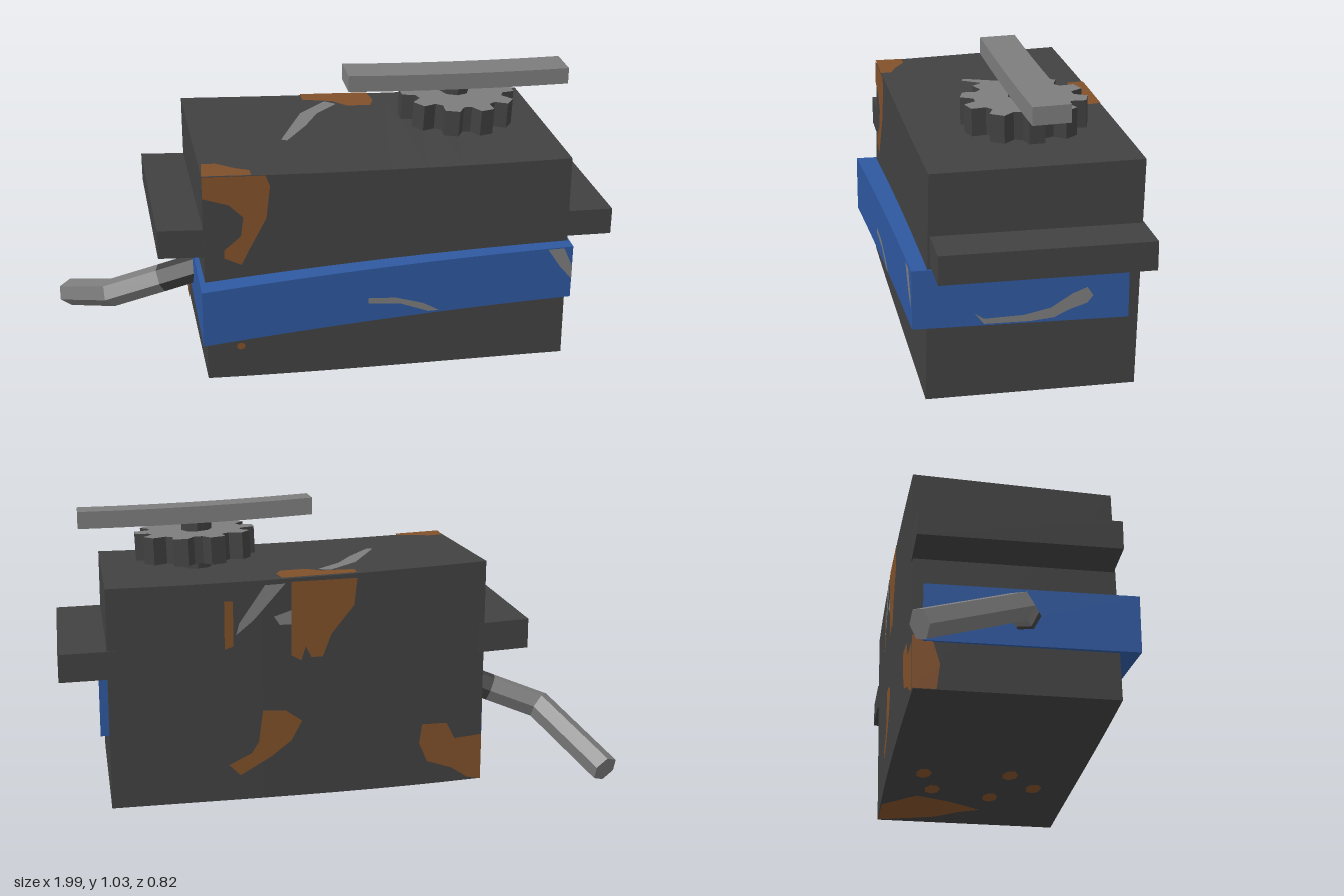
import * as THREE from 'three';

const material = (name, color) => {
  const m = new THREE.MeshStandardMaterial({ color });
  m.name = name;
  return m;
};

export function createModel() {
  const model = new THREE.Group();
  model.name = 'gearBox';
  const dark = material('darkIron', 0x414141);
  const blue = material('bluePaint', 0x2e589f);
  const grey = material('bareSteel', 0x7c7c7c);
  const rust = material('rust', 0x80502a);
  const mix = THREE.MathUtils.lerp;

  const add = (name, geo, mat, parent = model) => {
    const mesh = new THREE.Mesh(geo, mat);
    mesh.name = name;
    parent.add(mesh);
    return mesh;
  };

  // Box whose corners (u, v, w from 0 to 1) are moved by a rule; flat faces
  const warpedBox = (rule, segments = 1) => {
    const geo = new THREE.BoxGeometry(1, 1, 1, segments, 1, 1).toNonIndexed();
    const p = geo.attributes.position;
    for (let i = 0; i < p.count; i++) {
      p.setXYZ(i, ...rule(p.getX(i) + 0.5, p.getY(i) + 0.5, p.getZ(i) + 0.5));
    }
    geo.computeVertexNormals();
    return geo;
  };

  // Slightly sagging surfaces of the casing
  const along = (x) => (x + 0.49) / 1.32;
  const bow = (u) => 4 * u * (1 - u);
  const topY = (x, z) => {
    const u = along(x), w = (0.33 - z) / 0.71;
    return mix(mix(0.81, 0.777, u), mix(0.835, 0.786, u), w) - 0.008 * bow(u);
  };
  const bottomY = (x) => mix(0.03, 0.001, along(x)) - 0.008 * bow(along(x)) * (1 - along(x));
  const frontZ = (x, y) => 0.345 - 0.018 * y / 0.8 - 0.004 * along(x);
  const backZ = (x, y) => -0.357 - 0.018 * y / 0.8 - 0.008 * along(x) - 0.01 * bow(along(x));

  add('casing', warpedBox((u, v, w) => {
    const x = mix(-0.49, 0.83, u);
    const y = v ? topY(x, mix(-0.38, 0.33, w)) : bottomY(x);
    return [x, y, w ? frontZ(x, y) : backZ(x, y)];
  }, 10), dark);

  // Side ledges
  add('rightLedge', warpedBox((u, v, w) => [
    mix(-0.65, -0.47, u), mix(0.515, 0.62, v) - 0.01 * u, mix(-0.372, 0.328, w)]), dark);
  add('leftLedge', warpedBox((u, v, w) => [
    mix(0.8, 0.995, u), mix(0.472, 0.57, v) - 0.004 * u, mix(-0.383, 0.322, w)]), dark);

  // Blue band passing through the casing
  const bandZ = (x) => mix(0.412, 0.383, (x + 0.51) / 1.345);
  const bandX = (z) => mix(0.835, 0.86, (0.383 - z) / 0.713);
  add('blueBand', warpedBox((u, v, w) => [
    mix(mix(-0.5, 0.86, u), mix(-0.51, 0.835, u), w),
    mix(mix(0.2, 0.255, u), mix(0.41, 0.457, u), v) + 0.012 * bow(u),
    mix(-0.33, mix(0.412, 0.383, u), w)], 8), blue);

  // Flat worn patches laid on a surface
  const lift = 0.004;
  const faces = {
    front: [(a, b) => [a, b, frontZ(a, b) + lift], false],
    back: [(a, b) => [a, b, backZ(a, b) - lift], true],
    top: [(a, b) => [a, topY(a, b) + lift, b], true],
    bottom: [(a, b) => [a, Math.max(bottomY(a) - lift, 0) - 0.001, b], false],
    right: [(a, b) => [-0.49 - lift, b, a], false],
    bandFront: [(a, b) => [a, b, bandZ(a) + lift], false],
    bandLeft: [(a, b) => [bandX(a) + lift, b, a], true],
  };
  const patch = (name, mat, face, outline) => {
    const [place, flip] = faces[face];
    const geo = new THREE.ShapeGeometry(new THREE.Shape(outline.map((q) => new THREE.Vector2(...q))));
    const p = geo.attributes.position;
    for (let i = 0; i < p.count; i++) p.setXYZ(i, ...place(p.getX(i), p.getY(i)));
    if (flip) geo.index.array.reverse();
    geo.computeVertexNormals();
    add(name, geo, mat, model);
  };
  const spot = (face, a, b, ra, rb) => patch('rustSpot', rust, face,
    Array.from({ length: 7 }, (_, i) => [a + ra * Math.cos(i * 0.9), b + rb * Math.sin(i * 0.9)]));

  patch('frontRust', rust, 'front', [[-0.49, 0.81], [-0.27, 0.8], [-0.255, 0.76], [-0.27, 0.64],
    [-0.33, 0.53], [-0.36, 0.47], [-0.42, 0.5], [-0.42, 0.53], [-0.36, 0.58], [-0.35, 0.65],
    [-0.4, 0.7], [-0.49, 0.73]]);
  patch('topCornerRust', rust, 'top', [[-0.49, 0.33], [-0.48, 0.23], [-0.43, 0.23], [-0.37, 0.27],
    [-0.32, 0.29], [-0.32, 0.33]]);
  patch('topBackRust', rust, 'top', [[-0.03, -0.388], [-0.03, -0.33], [0.08, -0.31], [0.13, -0.26],
    [0.22, -0.26], [0.24, -0.31], [0.23, -0.388]]);
  patch('topScratch', grey, 'top', [[0.05, -0.31], [0.09, -0.28], [0, -0.19], [-0.06, -0.08],
    [-0.15, 0.05], [-0.17, 0.04], [-0.12, -0.07], [-0.06, -0.2]]);
  patch('backRust', rust, 'back', [[0.2, 0.79], [-0.03, 0.795], [-0.02, 0.7], [0.06, 0.6],
    [0.09, 0.52], [0.13, 0.52], [0.15, 0.56], [0.165, 0.51], [0.2, 0.53]]);
  patch('backRustStreak', rust, 'back', [[0.43, 0.73], [0.4, 0.73], [0.4, 0.57], [0.43, 0.56]]);
  patch('backScratch', grey, 'back', [[0.22, 0.785], [0.29, 0.782], [0.38, 0.65], [0.39, 0.61], [0.33, 0.66]]);
  patch('backScratch', grey, 'back', [[0.26, 0.67], [0.2, 0.69], [0.2, 0.64], [0.24, 0.64]]);
  patch('backLowerRust', rust, 'back', [[0.3, 0.335], [0.22, 0.33], [0.163, 0.29], [0.2, 0.22],
    [0.27, 0.165], [0.38, 0.1], [0.42, 0.14], [0.34, 0.18], [0.315, 0.22]]);
  patch('backCornerRust', rust, 'back', [[-0.27, 0.25], [-0.36, 0.25], [-0.39, 0.19], [-0.49, 0.2],
    [-0.49, 0.03], [-0.44, 0.04], [-0.38, 0.08], [-0.29, 0.11], [-0.26, 0.18]]);
  patch('sideCornerRust', rust, 'right', [[-0.36, 0.03], [-0.28, 0.03], [-0.27, 0.12], [-0.3, 0.22], [-0.365, 0.22]]);
  patch('bottomRust', rust, 'bottom', [[0.82, -0.365], [0.63, -0.365], [0.51, -0.24], [0.56, -0.11],
    [0.64, 0.02], [0.68, -0.06], [0.75, -0.14]]);
  spot('front', -0.37, 0.15, 0.016, 0.014);
  for (const [x, z] of [[0.24, 0.08], [0.37, 0.19], [0.49, 0.04], [0.26, -0.24], [0.43, -0.19]]) {
    spot('bottom', x, z, 0.05, 0.03);
  }
  patch('bandScratch', grey, 'bandFront', [[0.08, 0.33], [0.18, 0.322], [0.28, 0.29], [0.34, 0.255],
    [0.3, 0.255], [0.2, 0.295], [0.08, 0.31]]);
  patch('bandCornerScratch', grey, 'bandFront', [[0.74, 0.455], [0.8, 0.455], [0.834, 0.38],
    [0.834, 0.33], [0.79, 0.38]]);
  patch('bandSideScratch', grey, 'bandLeft', [[0.18, 0.3], [0.15, 0.28], [0.02, 0.285], [-0.07, 0.305],
    [-0.14, 0.35], [-0.19, 0.37], [-0.21, 0.34], [-0.19, 0.315], [-0.13, 0.295], [-0.08, 0.27],
    [0, 0.262], [0.15, 0.262]]);

  // Cog on its shaft
  const cog = new THREE.Group();
  cog.name = 'cog';
  cog.position.set(0.495, 0.825, -0.052);
  cog.rotation.set(0.025, 0, -0.035);
  model.add(cog);
  const teeth = 10, step = Math.PI * 2 / teeth;
  const outline = [];
  for (let i = 0; i < teeth; i++) {
    for (const [k, r] of [[-0.36, 0.168], [-0.2, 0.213], [0.2, 0.213], [0.36, 0.168]]) {
      const a = (i + k) * step;
      outline.push(new THREE.Vector2(r * Math.cos(a), r * Math.sin(a)));
    }
  }
  const cogGeo = new THREE.ExtrudeGeometry(new THREE.Shape(outline), { depth: 0.095, bevelEnabled: false });
  cogGeo.rotateX(-Math.PI / 2);
  add('cogWheel', cogGeo, [grey, dark], cog);
  for (let i = 0; i < teeth; i++) {
    const tip = add('toothFace', new THREE.BoxGeometry(0.006, 0.09, 0.045), i % 3 === 1 ? blue : grey, cog);
    tip.position.set(0.204 * Math.cos(i * step), 0.047, 0.204 * Math.sin(i * step));
    tip.rotation.y = -i * step;
  }
  const shaftGeo = new THREE.CylinderGeometry(0.054, 0.054, 0.19, 8).toNonIndexed();
  shaftGeo.computeVertexNormals();
  add('shaft', shaftGeo, dark).position.set(0.49, 0.868, -0.052);

  // Long bar above the cog
  add('topBar', warpedBox((u, v, w) => [
    mix(0.08, 0.907, u),
    mix(0.97, 1.03, v) - 0.026 * u - 0.006 * bow(u) - 0.004 * w,
    mix(-0.105, 0.02, w) - 0.01 * u], 6), grey);

  // Bent six-sided crank: rings carried along the path onto mitred planes
  const path = [[-0.45, 0.33, 0.03], [-0.62, 0.266, -0.012], [-0.8, 0.2, -0.055], [-0.955, 0.045, -0.385]]
    .map((q) => new THREE.Vector3(...q));
  const dirs = path.slice(1).map((q, i) => q.clone().sub(path[i]).normalize());
  const side = new THREE.Vector3(0, 1, 0).cross(dirs[0]).normalize();
  const up = dirs[0].clone().cross(side);
  let ring = Array.from({ length: 6 }, (_, i) => path[0].clone()
    .addScaledVector(side, 0.052 * Math.cos(i * Math.PI / 3))
    .addScaledVector(up, 0.052 * Math.sin(i * Math.PI / 3)));
  dirs.forEach((d, s) => {
    const normal = d.clone().add(dirs[s + 1] || d).normalize();
    const next = ring.map((q) => q.clone().addScaledVector(d,
      path[s + 1].clone().sub(q).dot(normal) / d.dot(normal)));
    const tris = [];
    for (let i = 0; i < 6; i++) {
      const j = (i + 1) % 6;
      tris.push(ring[i], ring[j], next[j], ring[i], next[j], next[i]);
      if (s === dirs.length - 1) tris.push(path[s + 1], next[i], next[j]);
    }
    const geo = new THREE.BufferGeometry().setFromPoints(tris);
    geo.computeVertexNormals();
    add(['crankRoot', 'crankArm', 'crankHandle'][s], geo, s ? grey : dark);
    ring = next;
  });

  return model;
}
